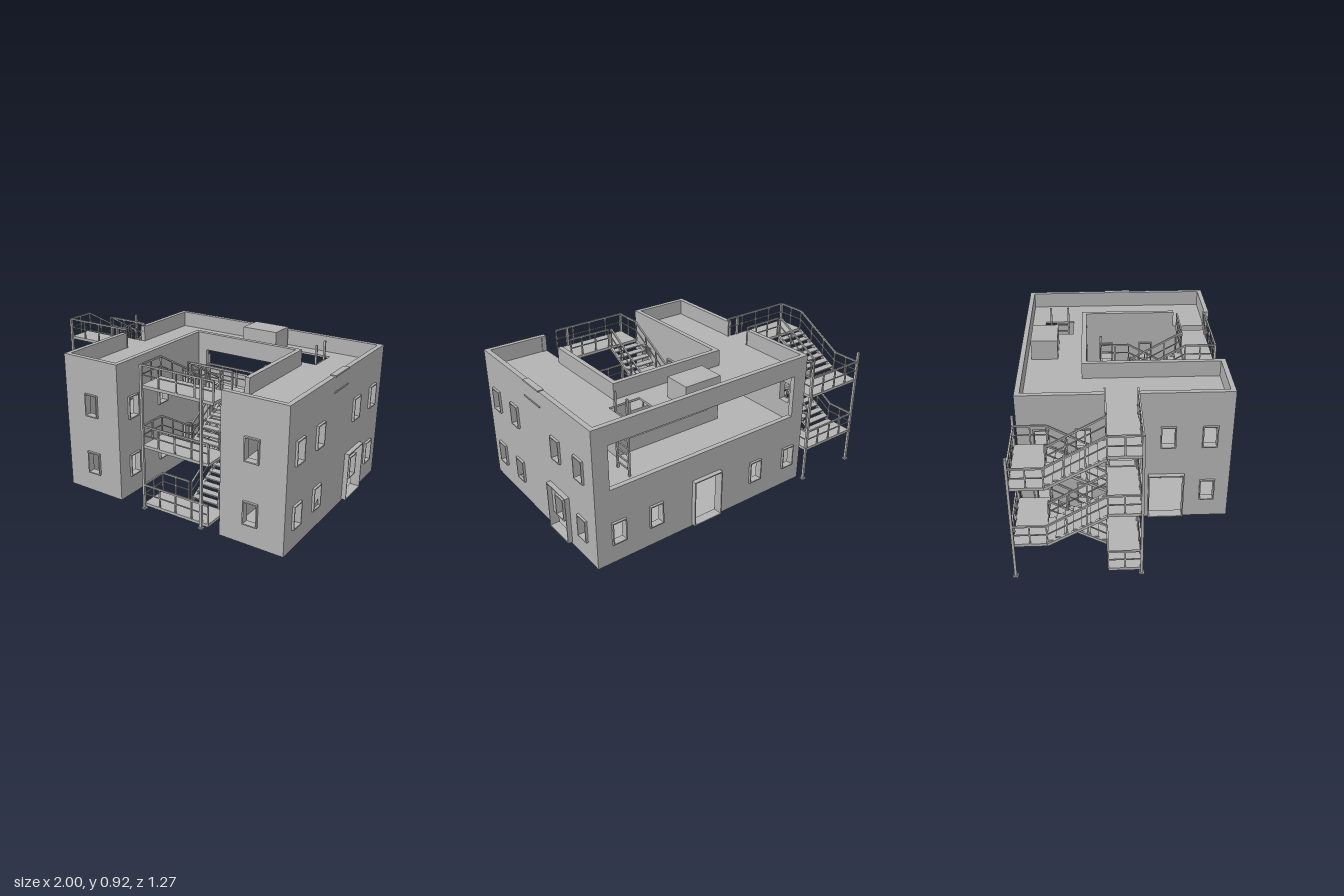
import * as THREE from 'three';

const grey = new THREE.MeshStandardMaterial({ color: 0xb2b2b2 });
grey.name = 'concreteGrey';

const T = 0.03;                       // wall thickness
const BASE = 0.03, TOP = 0.89, ROOF = 0.79;
const WIN = 0.088;                    // window width

function add(parent, name, geo) {
  const m = new THREE.Mesh(geo, grey);
  m.name = name;
  parent.add(m);
  return m;
}

// Box given by its two extreme corners
function box(parent, name, x0, x1, y0, y1, z0, z1) {
  const m = add(parent, name, new THREE.BoxGeometry(x1 - x0, y1 - y0, z1 - z0));
  m.position.set((x0 + x1) / 2, (y0 + y1) / 2, (z0 + z1) / 2);
  return m;
}

// Square bar between two points
function bar(parent, name, a, b, w = 0.009) {
  const p = new THREE.Vector3(...a), q = new THREE.Vector3(...b);
  const m = new THREE.Mesh(new THREE.BoxGeometry(w, w, p.distanceTo(q)), grey);
  m.name = name;
  m.position.copy(p).add(q).multiplyScalar(0.5);
  m.lookAt(q);
  parent.add(m);
}

function rect(Type, x0, x1, y0, y1) {
  const s = new Type();
  s.moveTo(x0, y0);
  s.lineTo(x1, y0);
  s.lineTo(x1, y1);
  s.lineTo(x0, y1);
  s.closePath();
  return s;
}

const extrude = (shape, depth) => new THREE.ExtrudeGeometry(shape, { depth, bevelEnabled: false });

// facing: rotation about y and the sign from world coordinate to wall coordinate
const FACING = {
  front: [0, 1], right: [Math.PI / 2, -1], back: [Math.PI, -1], left: [-Math.PI / 2, 1],
};

// Wall with holes [centre, width, y0, y1, frameDepth] and an optional parapet gap
function wall(parent, name, facing, at, from, to, holes, gap) {
  const [turn, s] = FACING[facing];
  const order = (a, b) => (s > 0 ? [a, b] : [-b, -a]);
  const [u0, u1] = order(from, to);
  const g = new THREE.Group();
  g.name = name;
  g.rotation.y = turn;
  if (facing === 'front' || facing === 'back') g.position.z = at;
  else g.position.x = at;
  const shape = new THREE.Shape();
  shape.moveTo(u0, BASE);
  shape.lineTo(u1, BASE);
  shape.lineTo(u1, TOP);
  if (gap) {
    const [g0, g1] = order(...gap);
    shape.lineTo(g1, TOP);
    shape.lineTo(g1, ROOF);
    shape.lineTo(g0, ROOF);
    shape.lineTo(g0, TOP);
  }
  shape.lineTo(u0, TOP);
  shape.closePath();
  for (const [c, w, y0, y1, depth] of holes) {
    const a = s * c - w / 2, b = s * c + w / 2;
    shape.holes.push(rect(THREE.Path, a, b, y0, y1));
    if (!depth) continue;
    const e = 0.006;
    const ring = rect(THREE.Shape, a - 0.001, b + 0.001, y0 - 0.001, y1 + 0.001);
    ring.holes.push(rect(THREE.Path, a + e, b - e, y0 + e, y1 - e));
    add(g, 'openingFrame', extrude(ring, T + depth)).position.z = -T;
  }
  add(g, 'wallPanel', extrude(shape, T)).position.z = -T;
  parent.add(g);
}

const low = c => [c, WIN, 0.155, 0.295, 0.014];
const high = c => [c, WIN, 0.53, 0.67, 0.014];
const both = (...cs) => cs.flatMap(c => [low(c), high(c)]);
const door = (c, w, y = 0.042) => [c, w, y, y + 0.3, 0.028];

// U-shaped slab, optionally with the roof hatch
function slab(parent, name, y0, y1, hatch) {
  const pts = [[-0.52, 0.61], [-0.14, 0.61], [-0.14, -0.22], [0.58, -0.22], [0.58, 0.61],
    [0.96, 0.61], [0.96, -0.6], [-0.52, -0.6]];
  const shape = new THREE.Shape(pts.map(([x, z]) => new THREE.Vector2(x, -z)));
  if (hatch) shape.holes.push(rect(THREE.Path, 0.47, 0.67, 0.3, 0.49));
  const m = add(parent, name, extrude(shape, y1 - y0));
  m.rotation.x = -Math.PI / 2;
  m.position.y = y0;
}

// Handrail, mid rail and posts from a to b
function railing(parent, a, b, posts = 2) {
  const up = (p, h) => [p[0], p[1] + h, p[2]];
  bar(parent, 'handrail', up(a, 0.12), up(b, 0.12), 0.01);
  bar(parent, 'midRail', up(a, 0.062), up(b, 0.062), 0.006);
  for (let i = 0; i <= posts; i++) {
    const p = a.map((v, k) => v + (b[k] - v) * i / posts);
    bar(parent, 'railPost', p, up(p, 0.12), 0.008);
  }
}

// Straight flight with open treads, stringers and handrails
function flight(parent, x0, x1, za, ya, zb, yb) {
  const n = 7, step = (zb - za) / n, rise = (yb - ya) / (n + 1);
  for (let i = 0; i < n; i++) {
    const z = za + step * i, y = ya + rise * (i + 1);
    box(parent, 'tread', x0, x1, y - 0.008, y, Math.min(z, z + step), Math.max(z, z + step));
  }
  for (const x of [x0, x1]) {
    bar(parent, 'stringer', [x, ya - 0.005, za], [x, yb - 0.015, zb], 0.016);
    railing(parent, [x, ya, za], [x, yb, zb], 3);
  }
}

// Two-storey dog-leg stair
function staircase(name) {
  const g = new THREE.Group();
  g.name = name;
  const L = -0.985, R = -0.578, END = -0.5, F = 0.075, B = -0.622, ZF = -0.11, ZB = -0.437;
  const levels = [0.04, 0.42, 0.79];
  levels.forEach((y, i) => {
    const end = i === 2 ? END : -0.53;
    box(g, 'frontLanding', L, end, y - 0.018, y, ZF, F);
    railing(g, [L, y, ZF], [L, y, F]);
    railing(g, [L, y, F], [end, y, F], 4);
    railing(g, [R, y, ZF], [end, y, ZF], 1);
  });
  railing(g, [L, 0.04, ZF], [-0.79, 0.04, ZF]);
  railing(g, [-0.772, 0.79, ZF], [R, 0.79, ZF]);
  for (let i = 0; i < 2; i++) {
    const y = (levels[i] + levels[i + 1]) / 2;
    box(g, 'backLanding', L, R, y - 0.018, y, B, ZB);
    railing(g, [L, y, ZB], [L, y, B]);
    railing(g, [L, y, B], [R, y, B], 4);
    railing(g, [R, y, B], [R, y, ZB]);
    flight(g, -0.768, R, ZF, levels[i], ZB, y);
    flight(g, L, -0.793, ZB, y, ZF, levels[i + 1]);
  }
  for (const [x, z, h] of [[L, F, 0.91], [R, F, 0.91], [L, B, 0.79], [R, B, 0.79]]) {
    bar(g, 'column', [x, 0, z], [x, h, z], 0.015);
    box(g, 'columnFoot', x - 0.015, x + 0.015, 0, 0.008, z - 0.015, z + 0.015);
  }
  return g;
}

export function createModel() {
  const model = new THREE.Group();
  model.name = 'building';

  // Outer walls
  wall(model, 'frontWallRight', 'front', 0.62, -0.53, -0.13, both(-0.33));
  wall(model, 'frontWallLeft', 'front', 0.62, 0.57, 0.97, both(0.765));
  wall(model, 'sideWallLeft', 'right', 0.97, -0.61, 0.62,
    [...both(0.493, 0.255, -0.23, -0.472), door(-0.228, 0.21)]);
  wall(model, 'sideWallRight', 'left', -0.53, -0.61, 0.62,
    [...both(0.49, -0.235, -0.472), high(0.25), door(0.245, 0.21), door(-0.015, 0.16, 0.422)], [-0.11, 0.08]);
  wall(model, 'backWall', 'back', -0.61, -0.53, 0.97,
    [...[-0.42, -0.15, 0.585, 0.83].map(low), door(0.23, 0.2), [0.22, 1.31, 0.505, 0.775, 0]]);

  // Courtyard walls
  wall(model, 'courtyardWallRight', 'right', -0.13, -0.24, 0.62, both(-0.08, 0.195, 0.485));
  wall(model, 'courtyardWallLeft', 'left', 0.57, -0.24, 0.62,
    [...both(-0.08, 0.19), door(0.48, 0.16), door(0.48, 0.16, 0.422)], [0.38, 0.585]);
  wall(model, 'courtyardWallBack', 'front', -0.21, -0.16, 0.6,
    [...[-0.025, 0.215, 0.46].map(low), [0.22, 0.58, 0.51, 0.778, 0]]);

  // Floors and roof
  slab(model, 'groundFloor', BASE + 0.001, 0.042);
  slab(model, 'upperFloor', 0.4, 0.42);
  slab(model, 'roof', 0.778, ROOF, true);

  // Roof box, hatch ladder and side strips
  box(model, 'roofUnit', 0.1, 0.34, ROOF, 0.917, -0.555, -0.39);
  for (const z of [-0.452, -0.335]) bar(model, 'ladderRail', [0.65, 0.42, z], [0.65, 0.9, z], 0.012);
  for (let y = 0.46; y < 0.8; y += 0.045) bar(model, 'ladderRung', [0.65, y, -0.452], [0.65, y, -0.335], 0.008);
  box(model, 'wallStrip', 0.965, 0.974, 0.791, 0.799, -0.08, 0.1);
  box(model, 'parapetStrip', 0.938, 0.974, 0.886, 0.895, -0.08, 0.1);

  // Outside stair and its copy in the courtyard
  model.add(staircase('sideStair'));
  const inner = staircase('courtyardStair');
  inner.position.set(1, 0, 0.505);
  model.add(inner);
  return model;
}
